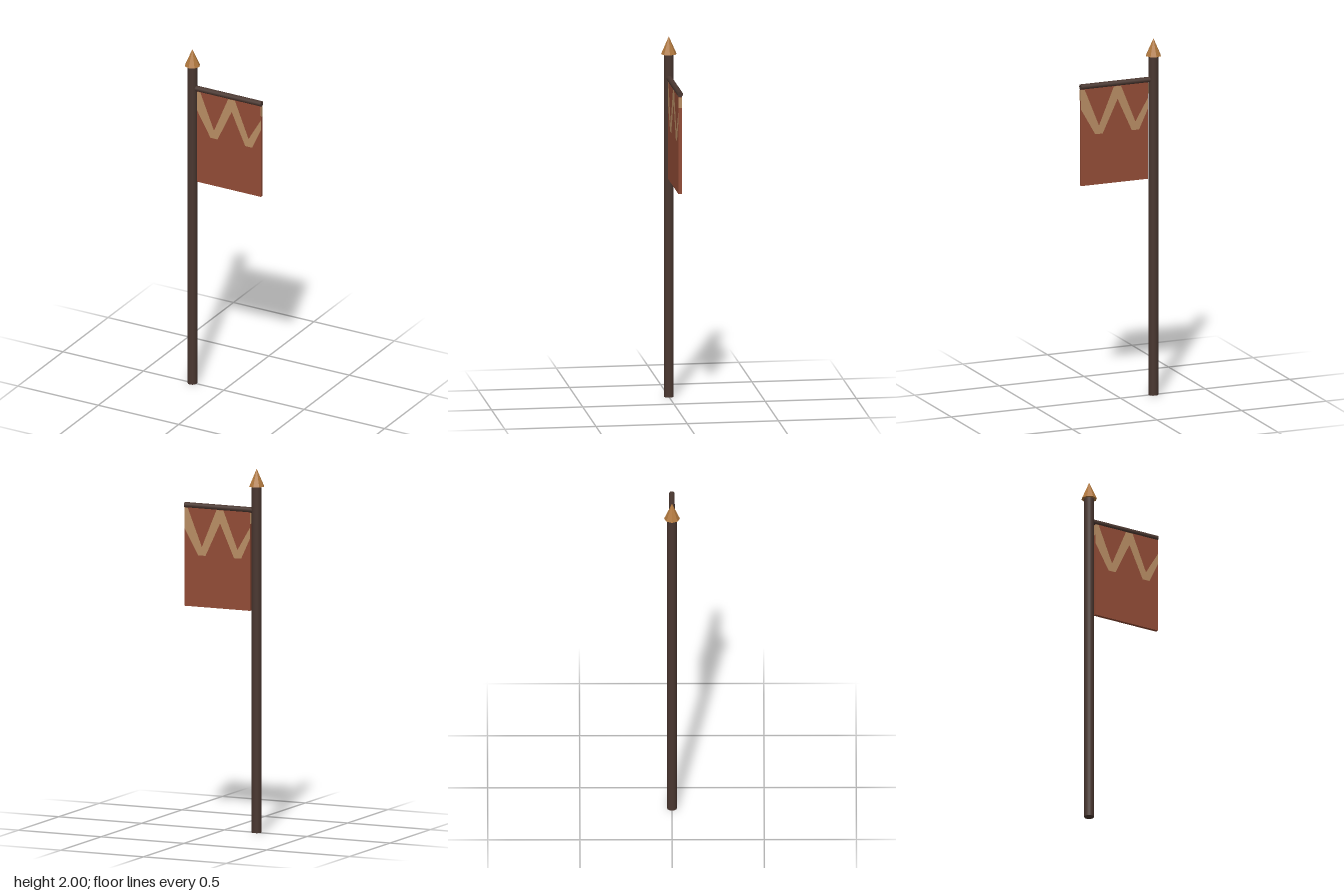
import * as THREE from 'three';

const mat = (name, color, extra = {}) => {
  const m = new THREE.MeshStandardMaterial({ color, ...extra });
  m.name = name;
  return m;
};

export function createModel() {
  const group = new THREE.Group();
  const wood = mat('dark wood', 0x4a3730);
  const brass = mat('bronze', 0xb0783e, { flatShading: true });
  const cloth = mat('red cloth', 0x924c36);
  const pale = mat('tan trim', 0xb88d64);

  const add = (name, geometry, material, x, y, z = 0) => {
    const mesh = new THREE.Mesh(geometry, material);
    mesh.name = name;
    mesh.position.set(x, y, z);
    group.add(mesh);
    return mesh;
  };

  // Pole with a faceted spear tip
  const poleX = -0.195;
  add('pole', new THREE.CylinderGeometry(0.027, 0.027, 1.905, 12), wood, poleX, 0.9525);
  add('poleTip', new THREE.ConeGeometry(0.043, 0.097, 8), brass, poleX, 1.9515);

  // Horizontal bar holding the banner
  const barLength = 0.432;
  add('crossbar', new THREE.CylinderGeometry(0.0155, 0.0155, barLength, 12), wood,
    poleX + barLength / 2, 1.771).rotation.z = Math.PI / 2;

  // Banner cloth
  const left = -0.16, right = 0.236, top = 1.765, bottom = 1.217, depth = 0.018;
  const midX = (left + right) / 2;
  add('banner', new THREE.BoxGeometry(right - left, top - bottom, depth), cloth,
    midX, (top + bottom) / 2);

  // Zigzag band: upper edge left to right, then lower edge back
  const zigzag = new THREE.Shape([
    [left, 1.757], [-0.14, 1.757], [-0.055, 1.547], [0.033, 1.757], [0.075, 1.757],
    [0.16, 1.547], [right, 1.675], [right, 1.615], [0.182, 1.5], [0.139, 1.5],
    [0.055, 1.685], [-0.033, 1.5], [-0.077, 1.5], [left, 1.645],
  ].map(([x, y]) => new THREE.Vector2(x - midX, y)));
  const band = new THREE.ShapeGeometry(zigzag);
  add('frontZigzag', band, pale, midX, 0, depth / 2 + 0.001);
  add('backZigzag', band, pale, midX, 0, -depth / 2 - 0.001).rotation.y = Math.PI;

  // Trim wrapping the outer and inner edges of the cloth
  for (const x of [left, right])
    add('edgeTrim', new THREE.BoxGeometry(0.002, 0.06, depth), pale, x, 1.725);

  return group;
}
